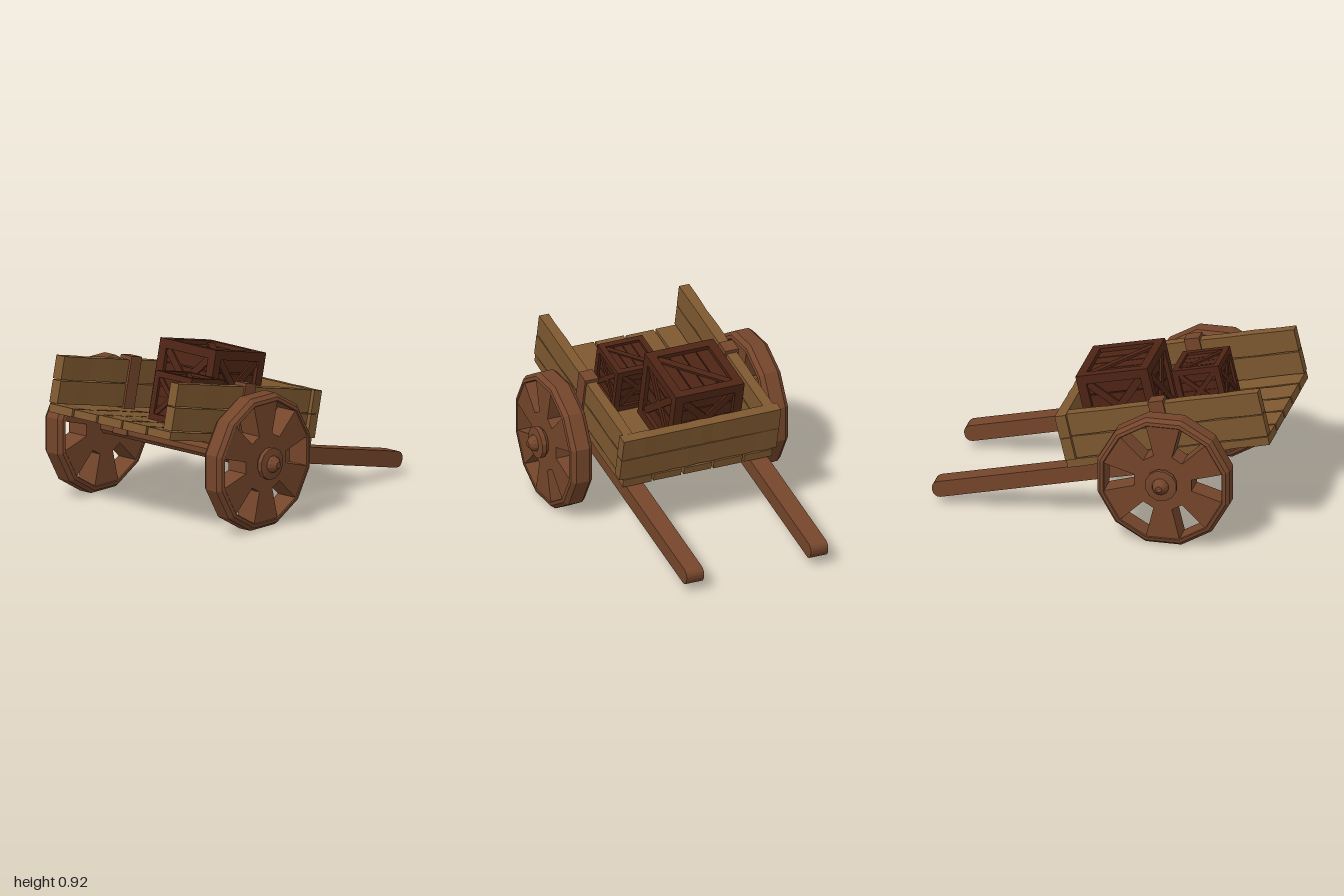
import * as THREE from 'three';

const mat = (color) => new THREE.MeshStandardMaterial({ color, flatShading: true, side: THREE.DoubleSide });
const plankWood = mat(0x7d5830);
const beamWood = mat(0x74452b);
const crateWood = mat(0x4d2414);

function add(parent, name, geometry, material, x = 0, y = 0, z = 0) {
  const mesh = new THREE.Mesh(geometry, material);
  mesh.name = name;
  mesh.position.set(x, y, z);
  parent.add(mesh);
  return mesh;
}

// Box with slightly worn, wavy long edges; runs along x or z
function plankGeometry(w, h, d, seed) {
  const alongX = w > d;
  const g = new THREE.BoxGeometry(w, h, d, alongX ? 14 : 1, 1, alongX ? 1 : 14);
  const p = g.attributes.position;
  for (let i = 0; i < p.count; i++) {
    const t = alongX ? p.getX(i) : p.getZ(i);
    const wear = 0.004 * Math.sin(t * 47 + seed * 2.3) * Math.sin(t * 19 + seed);
    p.setY(i, p.getY(i) - Math.sign(p.getY(i)) * Math.abs(wear));
    if (alongX) p.setZ(i, p.getZ(i) - Math.sign(p.getZ(i)) * Math.abs(wear));
    else p.setX(i, p.getX(i) - Math.sign(p.getX(i)) * Math.abs(wear));
  }
  g.computeVertexNormals();
  return g;
}

// Slatted crate with a corner frame and diagonal braces
function crate(name, s) {
  const group = new THREE.Group();
  group.name = name;
  const b = s * 0.125, o = (s - b) / 2;
  add(group, 'crateCore', new THREE.BoxGeometry(s * 0.85, s * 0.85, s * 0.85), crateWood);
  for (const i of [-1, 1]) for (const j of [-1, 1]) {
    add(group, 'frameRail', new THREE.BoxGeometry(s, b, b), crateWood, 0, i * o, j * o);
    add(group, 'framePost', new THREE.BoxGeometry(b, s, b), crateWood, i * o, 0, j * o);
    add(group, 'frameRail', new THREE.BoxGeometry(b, b, s), crateWood, i * o, j * o, 0);
  }
  const turns = [[0, 0], [0, Math.PI / 2], [0, Math.PI], [0, -Math.PI / 2], [-Math.PI / 2, 0], [Math.PI / 2, 0]];
  turns.forEach(([rx, ry], k) => {
    const face = new THREE.Group();
    face.name = 'crateFace';
    face.rotation.set(rx, ry, 0);
    group.add(face);
    for (let i = 0; i < 4; i++) {
      add(face, 'slat', new THREE.BoxGeometry(s * 0.8, s * 0.18, s * 0.03), crateWood, 0, (i - 1.5) * s * 0.195, s * 0.43);
    }
    const braces = k < 4 ? [1, -1] : [1];
    for (const side of braces) {
      add(face, 'brace', new THREE.BoxGeometry(s * 1.02, s * 0.1, s * 0.04), crateWood, 0, 0, s * 0.455)
        .rotation.z = side * Math.PI / 4;
    }
  });
  return group;
}

// Wheel facing +z: chamfered twelve-sided rim, pierced disc, hub
function wheel() {
  const group = new THREE.Group();
  const lathe = (name, pts, n) => {
    const g = new THREE.LatheGeometry(pts.map(([r, z]) => new THREE.Vector2(r, z)), n);
    g.rotateY(Math.PI / n);
    g.rotateX(Math.PI / 2);
    return add(group, name, g, beamWood);
  };
  lathe('rim', [[0.365, 0.55], [0.385, 0.555], [0.405, 0.58], [0.405, 0.665], [0.385, 0.69],
    [0.365, 0.695], [0.36, 0.69], [0.36, 0.555], [0.365, 0.55]], 12);

  const disc = new THREE.Shape();
  for (let i = 0; i < 12; i++) {
    const a = (i + 0.5) * Math.PI / 6, x = 0.375 * Math.cos(a), y = 0.375 * Math.sin(a);
    if (i) disc.lineTo(x, y); else disc.moveTo(x, y);
  }
  disc.closePath();
  for (let i = 0; i < 6; i++) {
    const a = i * Math.PI / 3, c = Math.cos(a), s = Math.sin(a);
    const corners = [[0.17, -0.035], [0.17, 0.035], [0.352, 0.088], [0.352, -0.088]];
    disc.holes.push(new THREE.Path(corners.map(([u, v]) => new THREE.Vector2(u * c - v * s, u * s + v * c))));
  }
  add(group, 'spokes', new THREE.ExtrudeGeometry(disc, { depth: 0.135, bevelEnabled: false }), beamWood, 0, 0, 0.555);

  lathe('hub', [[0, 0.68], [0.07, 0.685], [0.095, 0.712], [0.095, 0.74], [0.05, 0.745],
    [0.045, 0.762], [0.018, 0.79], [0, 0.79]], 12);
  return group;
}

export function createModel() {
  const cart = new THREE.Group();
  cart.name = 'handCart';
  const cx = -0.42, cy = 0.396;

  // Axle and wheels
  const axle = add(cart, 'axle', new THREE.CylinderGeometry(0.052, 0.052, 1.2, 10), beamWood, cx, cy, 0);
  axle.rotation.x = Math.PI / 2;
  for (const side of [1, -1]) {
    const w = wheel();
    w.name = side > 0 ? 'rightWheel' : 'leftWheel';
    w.position.set(cx, cy, 0);
    if (side < 0) w.rotation.y = Math.PI;
    cart.add(w);
  }

  // Everything above the axle leans forward on its handles
  const body = new THREE.Group();
  body.name = 'tiltedBody';
  body.position.set(cx, cy, 0);
  body.rotation.z = -0.225;
  cart.add(body);

  // Floor planks
  for (let i = 0; i < 5; i++) {
    add(body, 'floorPlank', plankGeometry(1.225, 0.052, 0.182, i), plankWood, 0, 0.096, (i - 2) * 0.192);
  }

  // Side and front boards, two high
  for (let row = 0; row < 2; row++) {
    const y = 0.195 + row * 0.141;
    for (const side of [1, -1]) {
      add(body, 'sideBoard', plankGeometry(1.16, 0.138, 0.066, row * 3 + side), plankWood, -0.035, y, side * 0.446);
    }
    add(body, 'frontBoard', plankGeometry(0.066, 0.14, 1.0, row + 5), plankWood, 0.578, y, 0);
  }

  // Handle outline with a rounded grip end
  const outline = new THREE.Shape();
  outline.moveTo(-0.06, -0.03);
  outline.lineTo(1.415, -0.03);
  outline.quadraticCurveTo(1.455, -0.025, 1.455, 0.018);
  outline.quadraticCurveTo(1.455, 0.06, 1.415, 0.066);
  outline.lineTo(-0.06, 0.066);
  outline.closePath();
  const handleGeometry = new THREE.ExtrudeGeometry(outline, { depth: 0.11, bevelEnabled: false, curveSegments: 4 });

  for (const side of [1, -1]) {
    add(body, 'handle', handleGeometry, beamWood, 0, 0, side * 0.395 - 0.055);
    // Upright clasping the side boards over the axle
    add(body, 'sideBracket', new THREE.BoxGeometry(0.09, 0.425, 0.086), beamWood, 0, 0.212, side * 0.446);
  }

  // Cargo
  const large = crate('largeCrate', 0.436);
  large.position.set(0.28, 0.34, -0.085);
  const small = crate('smallCrate', 0.285);
  small.position.set(-0.122, 0.265, 0.125);
  body.add(large, small);

  return cart;
}
